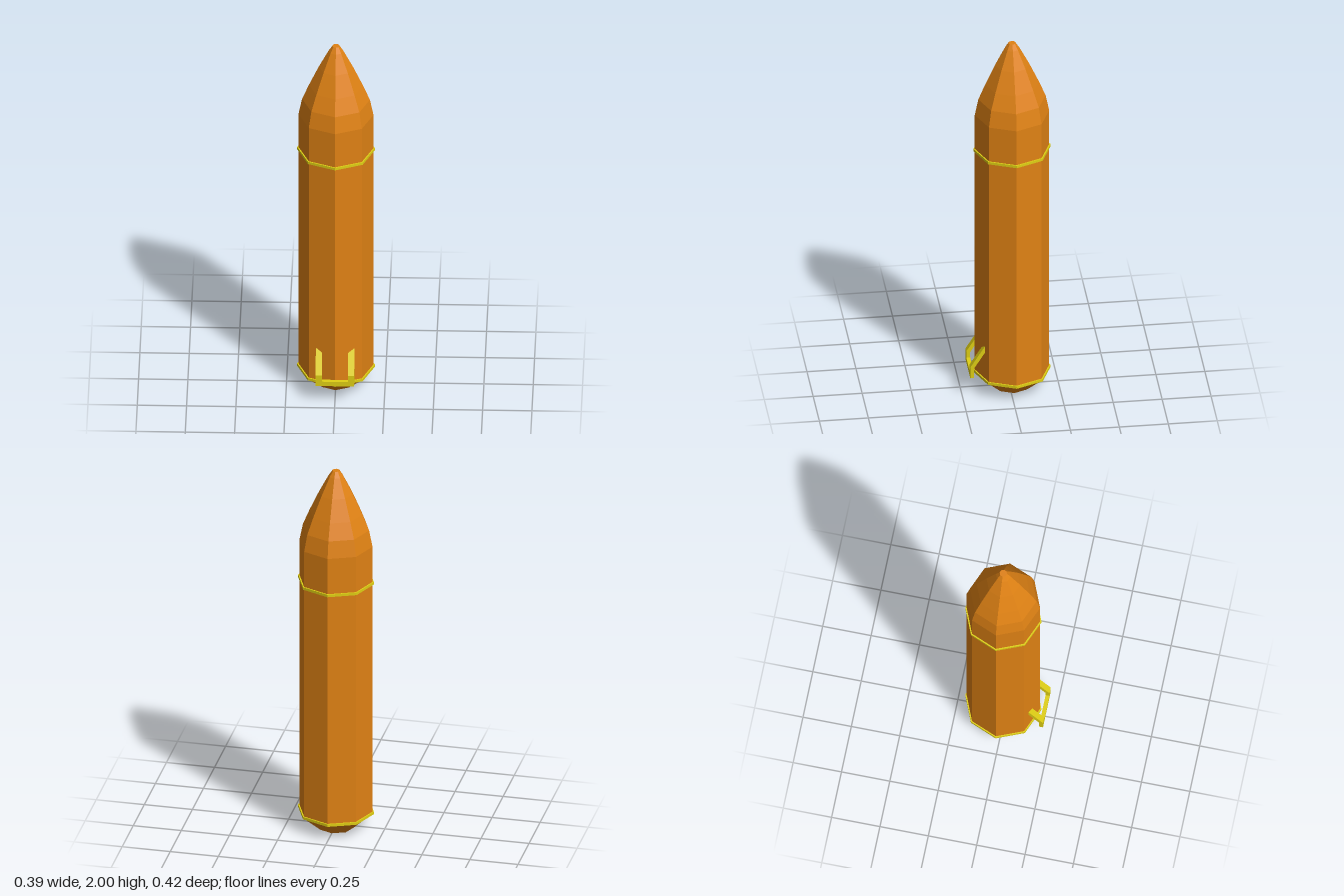
import * as THREE from 'three';

const SIDES = 8;
const CENTRE_Z = -0.015;

export function createModel() {
  const model = new THREE.Group();
  const orange = new THREE.MeshStandardMaterial({ color: 0xe08214, flatShading: true });
  const yellow = new THREE.MeshStandardMaterial({ color: 0xe0d014, flatShading: true });

  const add = (name, geometry, material, x, y, z) => {
    const flat = geometry.index ? geometry.toNonIndexed() : geometry;
    flat.computeVertexNormals();
    const mesh = new THREE.Mesh(flat, material);
    mesh.name = name;
    mesh.position.set(x, y, z);
    model.add(mesh);
  };

  // Octagonal hull: tapered base, straight barrel, rounded nose with a small flat tip
  const profile = [
    [0, 0], [0.095, 0], [0.19, 0.085], [0.19, 1.59], [0.172, 1.68],
    [0.137, 1.765], [0.087, 1.875], [0.038, 1.97], [0.019, 2], [0, 2],
  ].map(([r, y]) => new THREE.Vector2(r, y));
  add('hull', new THREE.LatheGeometry(profile, SIDES), orange, 0, 0, CENTRE_Z);

  // Thin bands round the hull
  for (const [name, y] of [['lowerBand', 0.091], ['upperBand', 1.385]]) {
    add(name, new THREE.CylinderGeometry(0.197, 0.197, 0.014, SIDES), yellow, 0, y, CENTRE_Z);
  }

  // Bent step arms, drawn in (z, y) and extruded across x; upper ends sink into the hull
  const arm = new THREE.Shape([
    [0.19, 0.105], [0.21, 0.105], [0.21, 0.168],
    [0.125, 0.302], [0.11, 0.29], [0.19, 0.162],
  ].map(([z, y]) => new THREE.Vector2(z, y)));
  const armWidth = 0.032;
  for (const [name, x] of [['leftStepArm', 0.082], ['rightStepArm', -0.082]]) {
    const geometry = new THREE.ExtrudeGeometry(arm, { depth: armWidth, bevelEnabled: false });
    geometry.translate(0, 0, -armWidth / 2).rotateY(-Math.PI / 2);
    add(name, geometry, yellow, x, 0, 0);
  }

  // Rung joining the arms
  add('stepRung', new THREE.BoxGeometry(0.134, 0.026, 0.02), yellow, 0, 0.118, 0.2);

  return model;
}
